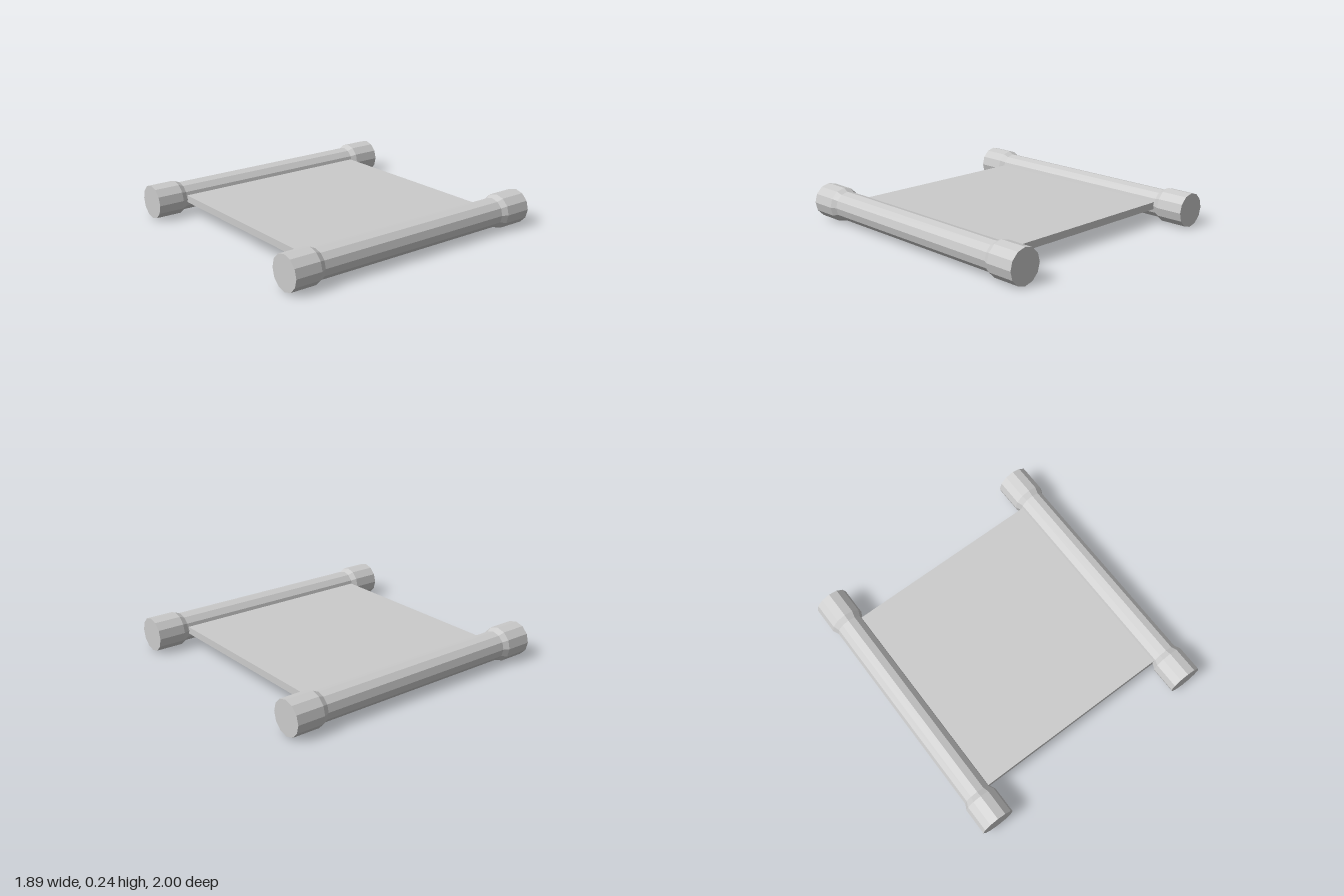
import * as THREE from 'three';

const END_R = 0.122;   // thick end grips
const SHAFT_R = 0.102; // thinner middle
const ROD_X = 0.823;

export function createModel() {
  const group = new THREE.Group();
  const material = new THREE.MeshStandardMaterial({ color: 0xcccccc, flatShading: true });

  // Twelve-sided roller lying along z, flaring to a thicker grip at each end
  const profile = [
    [0, -1], [END_R, -1], [END_R, -0.802], [SHAFT_R, -0.76],
    [SHAFT_R, 0.77], [END_R, 0.81], [END_R, 1], [0, 1],
  ].map(([r, z]) => new THREE.Vector2(r, z));
  const rodGeometry = new THREE.LatheGeometry(profile, 12).rotateX(Math.PI / 2);

  for (const [name, side] of [['leftRoller', 1], ['rightRoller', -1]]) {
    const rod = new THREE.Mesh(rodGeometry, material);
    rod.name = name;
    rod.position.set(side * ROD_X, END_R, 0);
    group.add(rod);
  }

  // Sheet between the rollers: a flat top with front and back edges turned down, open below
  const section = [[0.098, -0.754], [0.149, -0.754], [0.149, 0.766], [0.098, 0.766]];
  const sheetGeometry = new THREE.PlaneGeometry(ROD_X * 2 - 0.1, 1, 1, 3);
  const points = sheetGeometry.attributes.position;
  for (let i = 0; i < points.count; i++) {
    const [y, z] = section[Math.floor(i / 2)];
    points.setXYZ(i, points.getX(i), y, z);
  }
  sheetGeometry.computeVertexNormals();
  const sheetMaterial = material.clone();
  sheetMaterial.side = THREE.DoubleSide;
  const sheet = new THREE.Mesh(sheetGeometry, sheetMaterial);
  sheet.name = 'sheet';
  group.add(sheet);

  return group;
}
